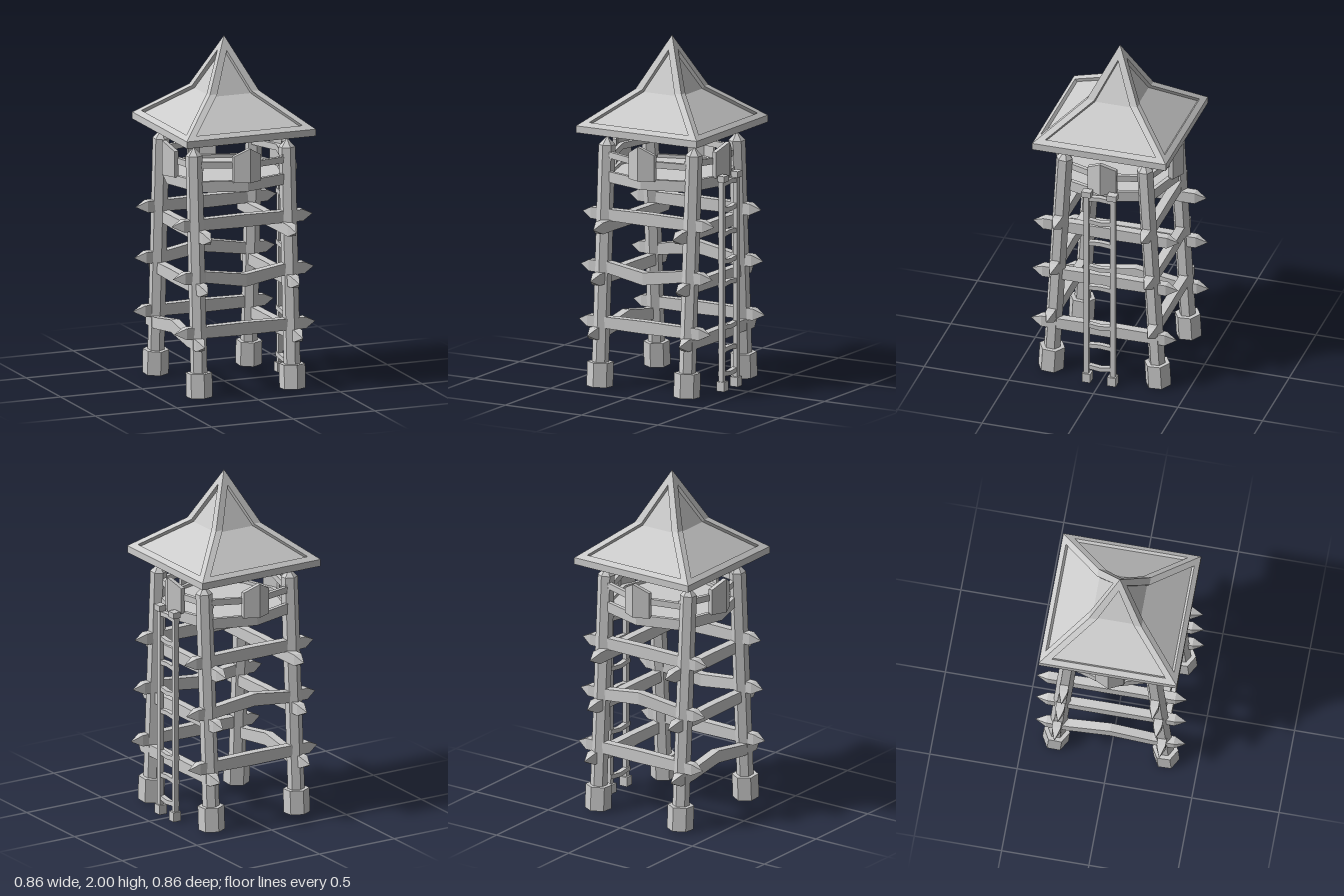
import * as THREE from 'three';

const mat = new THREE.MeshStandardMaterial({ color: 0xcccccc, flatShading: true });
const thinMat = new THREE.MeshStandardMaterial({ color: 0xcccccc, flatShading: true, side: THREE.DoubleSide });

function add(parent, name, geometry, material = mat) {
  const mesh = new THREE.Mesh(geometry, material);
  mesh.name = name;
  parent.add(mesh);
  return mesh;
}

// Move every vertex of a geometry by a rule
function reshape(geometry, rule) {
  const p = geometry.attributes.position, v = new THREE.Vector3();
  for (let i = 0; i < p.count; i++) {
    rule(v.fromBufferAttribute(p, i));
    p.setXYZ(i, v.x, v.y, v.z);
  }
  geometry.computeVertexNormals();
  return geometry;
}

// Squared log along x with sharpened ends and an optional bend in the middle
function logGeometry(rise, bulge) {
  const stations = [-0.43, -0.365, -0.24, 0, 0.24, 0.365, 0.43];
  return reshape(new THREE.BoxGeometry(6, 0.066, 0.05, 6, 1, 1), v => {
    const i = Math.round(v.x + 3);
    if (i === 0 || i === 6) { v.y *= 0.03; v.z *= 0.03; }
    if (i === 3) { v.y = v.y * 1.1 + rise; v.z += bulge; }
    v.x = stations[i];
  });
}

// Plank along x whose middle is pushed outward and, at the top, upward
function bentPlank(length, height, depth, bulge, peak = 0) {
  return reshape(new THREE.BoxGeometry(length, height, depth, 2, 1, 1), v => {
    if (Math.abs(v.x) < 1e-4) {
      v.z += bulge;
      if (v.y > 0) v.y += peak;
    }
  });
}

// Six-sided post of given radius, optionally pointed at the top
function hexPost(radius, height, point) {
  const profile = [[0, 0], [radius, 0], [radius, height - point], [0, height]];
  return new THREE.LatheGeometry(profile.map(([x, y]) => new THREE.Vector2(x, y)), 6);
}

// One roof side: raised border, recessed panel and eave
function roofSide() {
  const pos = [];
  const P = (x, y, z) => [x, y, z];
  const M = ([x, y, z]) => [-x, y, z];
  const tri = (...pts) => pts.forEach(p => pos.push(...p));
  const quad = (a, b, c, d) => tri(a, b, c, a, c, d);
  const A = [P(-0.395, 1.505, 0.395), P(-0.15, 1.7, 0.15), P(0, 2, 0)];
  const H = [P(-0.325, 1.5265, 0.368), P(-0.105, 1.7, 0.15), P(0, 1.92, 0.04)];
  const G = [P(-0.325, 1.512, 0.355), P(-0.105, 1.684, 0.136), P(0, 1.905, 0.02)];
  for (let i = 0; i < 2; i++) {
    // Hip borders and the walls of the recess
    quad(A[i], H[i], H[i + 1], A[i + 1]);
    quad(M(A[i + 1]), M(H[i + 1]), M(H[i]), M(A[i]));
    quad(H[i], G[i], G[i + 1], H[i + 1]);
    quad(M(H[i + 1]), M(G[i + 1]), M(G[i]), M(H[i]));
  }
  quad(A[0], M(A[0]), M(H[0]), H[0]);
  quad(H[0], M(H[0]), M(G[0]), G[0]);
  // Recessed panel
  quad(G[0], M(G[0]), M(G[1]), G[1]);
  tri(G[1], M(G[1]), G[2]);
  // Eave: outside, underside, inside
  const E = P(-0.395, 1.465, 0.395), U = P(-0.36, 1.465, 0.36), V = P(-0.36, 1.512, 0.36);
  quad(E, M(E), M(A[0]), A[0]);
  quad(U, M(U), M(E), E);
  quad(V, M(V), M(U), U);
  const g = new THREE.BufferGeometry();
  g.setAttribute('position', new THREE.Float32BufferAttribute(pos, 3));
  g.computeVertexNormals();
  return g;
}

export function createModel() {
  const tower = new THREE.Group();
  tower.name = 'watchtower';

  // Leaning corner legs with chunky feet
  for (const sx of [-1, 1]) for (const sz of [-1, 1]) {
    const leg = new THREE.Group();
    leg.name = 'cornerLeg';
    leg.position.set(sx * 0.285, 0, sz * 0.318);
    const top = new THREE.Vector3(0, 1.43, sz * -0.083);
    leg.quaternion.setFromUnitVectors(new THREE.Vector3(0, 1, 0), top.clone().normalize());
    add(leg, 'post', hexPost(0.048, top.length(), 0.05));
    add(leg, 'foot', hexPost(0.075, 0.14, 0));
    tower.add(leg);
  }

  // Cross logs: three levels on each side, one pair of them warped
  [[0.37, 0.3], [0.685, 0.28], [0.985, 0.26]].forEach(([y, d], level) => {
    for (const s of [-1, 1]) {
      const bent = level === 1;
      const log = add(tower, s > 0 ? 'frontLog' : 'backLog', logGeometry(bent ? -0.035 * s : 0, bent ? 0.02 * s : 0));
      log.position.set(0, y, s * d);
      const side = add(tower, s > 0 ? 'leftLog' : 'rightLog', logGeometry(level === 0 && s < 0 ? 0.035 : 0, 0));
      side.rotation.y = Math.PI / 2;
      side.position.set(s * d, y - 0.062, 0);
    }
  });

  // Platform floor with outward-bulging sides
  const outline = [];
  for (let i = 0; i < 4; i++) {
    const a = i * Math.PI / 2, c = Math.cos(a), s = Math.sin(a);
    outline.push(new THREE.Vector2(0.335 * c, 0.335 * s));
    outline.push(new THREE.Vector2(0.255 * (c - s), 0.255 * (s + c)));
  }
  const floor = add(tower, 'platformFloor',
    new THREE.ExtrudeGeometry(new THREE.Shape(outline), { depth: 0.035, bevelEnabled: false }));
  floor.rotation.x = -Math.PI / 2;
  floor.position.y = 1.18;

  // Rim, railing and pointed shield board on each side
  for (let i = 0; i < 4; i++) {
    const side = new THREE.Group();
    side.name = 'parapetSide';
    side.rotation.y = i * Math.PI / 2;
    add(side, 'rim', bentPlank(0.54, 0.062, 0.025, 0.08)).position.set(0, 1.202, 0.257);
    const rail = add(side, 'rail', bentPlank(0.54, 0.036, 0.025, 0.08));
    rail.position.set(0, 1.32, 0.252);
    rail.rotation.z = -0.03;
    add(side, 'shieldBoard', bentPlank(0.168, 0.15, 0.025, 0.04, 0.05)).position.set(0, 1.3, 0.327);
    tower.add(side);
  }

  // Ladder on the left side
  const ladder = new THREE.Group();
  ladder.name = 'ladder';
  ladder.position.x = 0.375;
  for (const s of [-1, 1]) {
    add(ladder, 'ladderRail', new THREE.BoxGeometry(0.028, 1.21, 0.03)).position.set(0, 0.615, s * 0.078);
    add(ladder, 'ladderFoot', new THREE.BoxGeometry(0.05, 0.055, 0.05)).position.set(0, 0.0275, s * 0.075);
    add(ladder, 'ladderCap', new THREE.BoxGeometry(0.045, 0.035, 0.055)).position.set(0.005, 1.227, s * 0.075);
  }
  [0.1, 0.23, 0.37, 0.61, 0.75, 0.9, 1.05, 1.19].forEach((y, i) => {
    const rung = add(ladder, 'rung', reshape(new THREE.BoxGeometry(0.03, 0.026, 0.185, 1, 1, 2), v => {
      if (Math.abs(v.z) < 1e-4) v.y += i % 2 ? 0.008 : -0.012;
    }));
    rung.position.set(-0.004, y, 0);
  });
  tower.add(ladder);

  // Peaked roof, one piece per side
  const roof = new THREE.Group();
  roof.name = 'roof';
  const sideGeometry = roofSide();
  for (let i = 0; i < 4; i++) {
    add(roof, 'roofSide', sideGeometry, thinMat).rotation.y = i * Math.PI / 2;
  }
  tower.add(roof);
  return tower;
}
